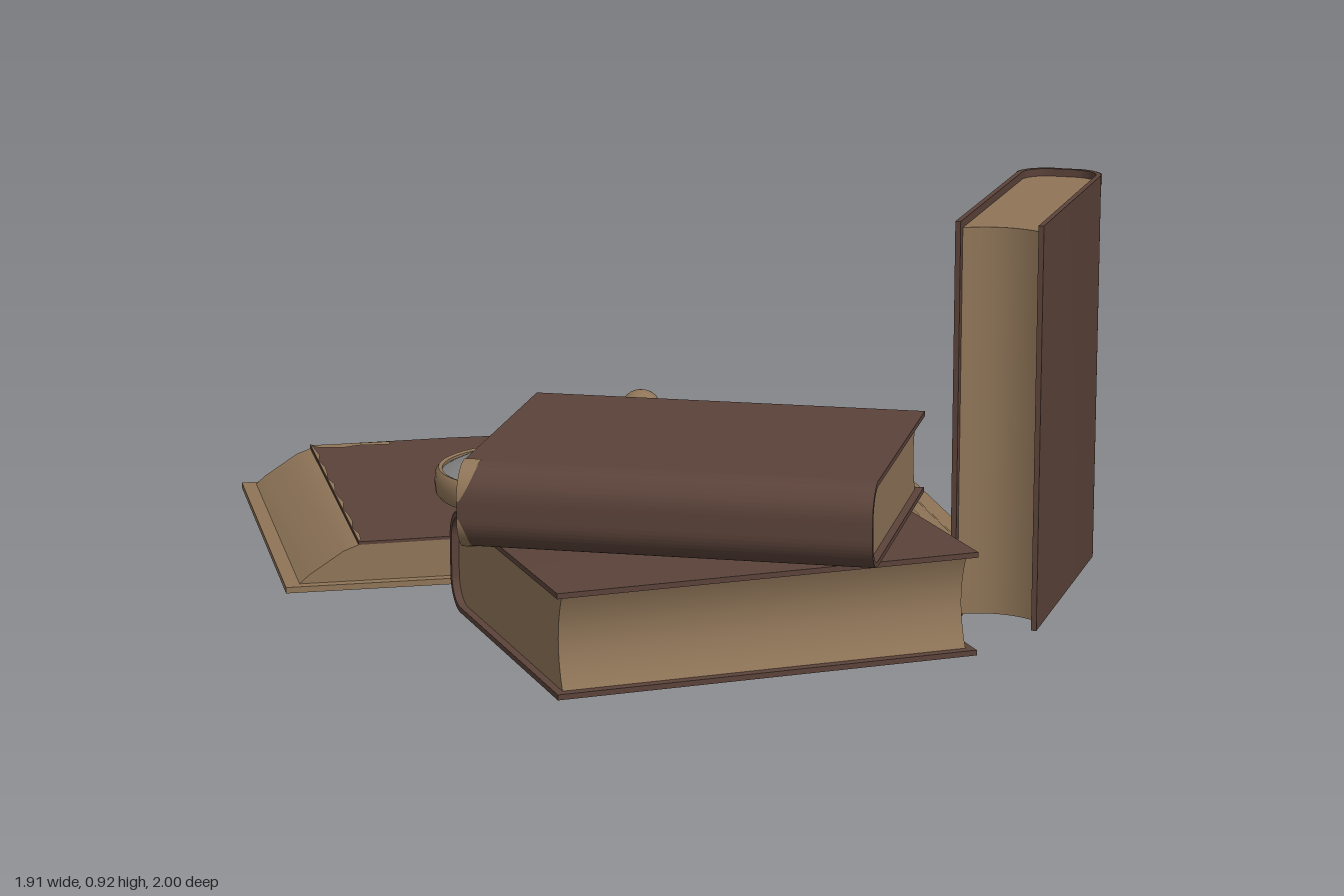
import * as THREE from 'three';
import { toCreasedNormals } from 'three/addons/utils/BufferGeometryUtils.js';

const cover = new THREE.MeshStandardMaterial({ color: 0x5a4239 });
cover.name = 'brown leather';
const paper = new THREE.MeshStandardMaterial({ color: 0x8f7558 });
paper.name = 'aged tan';
const worn = new THREE.MeshStandardMaterial({ color: 0x8f7558, side: THREE.DoubleSide });
worn.name = 'worn tan';
const glass = new THREE.MeshStandardMaterial({ color: 0x848484 });
glass.name = 'lens grey';

function add(parent, name, geometry, material, x = 0, y = 0, z = 0) {
  const mesh = new THREE.Mesh(geometry, material);
  mesh.name = name;
  mesh.position.set(x, y, z);
  parent.add(mesh);
  return mesh;
}

// Extrudes a shape along z, centred, with smooth curves and sharp edges
function prism(shape, length) {
  const g = new THREE.ExtrudeGeometry(shape, { depth: length, bevelEnabled: false, curveSegments: 12 });
  g.translate(0, 0, -length / 2);
  return toCreasedNormals(g, 0.6);
}

// Closed book: x runs from fore edge to spine, y is thickness, z is the height of the pages
function closedBook(name, D, T, L, patches) {
  const book = new THREE.Group();
  book.name = name;
  const h = T / 2, t = 0.012, r = 0.075, hi = h - t, ri = r - t;

  const c = new THREE.Shape();
  c.moveTo(0, -h);
  c.lineTo(D - r, -h);
  c.absarc(D - r, -h + r, r, -Math.PI / 2, 0, false);
  c.absarc(D - r, h - r, r, 0, Math.PI / 2, false);
  c.lineTo(0, h);
  c.lineTo(0, hi);
  c.lineTo(D - r, hi);
  c.absarc(D - r, h - r, ri, Math.PI / 2, 0, true);
  c.absarc(D - r, -h + r, ri, 0, -Math.PI / 2, true);
  c.lineTo(0, -hi);
  c.closePath();
  add(book, name + 'Cover', prism(c, L), cover);

  // Page block with a hollow fore edge
  const p = new THREE.Shape();
  p.moveTo(0.022, -hi);
  p.lineTo(D - r, -hi);
  p.absarc(D - r, -h + r, ri, -Math.PI / 2, 0, false);
  p.absarc(D - r, h - r, ri, 0, Math.PI / 2, false);
  p.lineTo(0.022, hi);
  p.quadraticCurveTo(0.075, 0, 0.022, -hi);
  add(book, name + 'Pages', prism(p, L - 0.035), paper);

  // Worn spine corners: [end sign, side sign, size]
  for (const [end, side, size] of patches) {
    const g = new THREE.CylinderGeometry(r + 0.002, r + 0.002, size, 10, 1, true, side > 0 ? Math.PI / 2 : 0, Math.PI / 2);
    g.rotateX(Math.PI / 2);
    const pos = g.attributes.position;
    for (let i = 0; i < pos.count; i++) {
      if (pos.getZ(i) * end < 0) {
        const a = Math.abs(pos.getY(i)) / r;
        pos.setZ(i, end * size * (0.4 - 0.9 * a * (1 - 0.35 * a)));
      }
    }
    g.computeVertexNormals();
    add(book, name + 'WornCorner', g, worn, D - r, side * (h - r), end * (L - size) / 2);
  }
  return book;
}

// Places a book so its x axis (towards the spine) and y axis (thickness) follow u and v
function place(book, u, v, origin) {
  u.normalize();
  const w = new THREE.Vector3().crossVectors(u, v);
  book.quaternion.setFromRotationMatrix(new THREE.Matrix4().makeBasis(u, v, w));
  book.position.set(...origin);
  return book;
}

function openBook() {
  const book = new THREE.Group();
  book.name = 'openBook';
  // Cover boards, the left end worn to tan
  add(book, 'openCoverWornEnd', new THREE.BoxGeometry(0.29, 0.014, 0.99), paper, -0.805, 0.007, -0.47);
  add(book, 'openCover', new THREE.BoxGeometry(1.37, 0.014, 0.99),
    [cover, paper, paper, cover, paper, paper], 0.025, 0.007, -0.47);

  // Page block: half profile mirrored about the gutter
  const c = -0.123;
  const half = [[0.008, 0.045], [0.02, 0.066], [0.045, 0.088], [0.09, 0.1], [0.3, 0.102], [0.655, 0.099],
    [0.69, 0.086], [0.73, 0.06], [0.77, 0.034], [0.793, 0.014]];
  const top = [...half.map(([x, y]) => [c - x, y]).reverse(), [c, 0.036], ...half.map(([x, y]) => [c + x, y])];
  const pts = top.map(([x, y]) => new THREE.Vector2(x, y));
  add(book, 'openPages', prism(new THREE.Shape([...pts].reverse()), 0.945), paper, 0, 0, -0.4725);

  // Brown sheets lying over the two flat pages
  const sheet = pts.slice(4, -4);
  const raised = sheet.map(p => new THREE.Vector2(p.x, p.y + 0.007)).reverse();
  add(book, 'openPageSheet', prism(new THREE.Shape([...sheet, ...raised]), 0.945), cover, 0, 0, -0.4725);

  // Worn spots: outline points as x, z
  const spots = [
    [[-0.78, -0.93], [-0.58, -0.93], [-0.58, -0.9], [-0.66, -0.905], [-0.7, -0.89], [-0.76, -0.9]],
    [[0.06, -0.08], [0.13, -0.075], [0.16, -0.095], [0.22, -0.09], [0.235, -0.05], [0.2, -0.025], [0.13, -0.02], [0.11, -0.045], [0.065, -0.05]],
    [[-0.115, -0.08], [-0.08, -0.09], [-0.06, -0.07], [-0.07, -0.045], [-0.1, -0.04]],
    [[-0.3, -0.925], [-0.275, -0.925], [-0.28, -0.905], [-0.3, -0.91]],
  ];
  for (const s of spots) {
    const g = new THREE.ShapeGeometry(new THREE.Shape(s.map(([x, z]) => new THREE.Vector2(x, -z))));
    g.rotateX(-Math.PI / 2);
    const nearGutter = s[0][0] > -0.2 && s[0][0] < 0;
    add(book, 'wornSpot', g, worn, 0, nearGutter ? 0.108 : 0.1105, 0);
  }
  // Ragged outer edges of the sheets
  for (const [x, dir] of [[-0.778, 1], [0.532, -1]]) {
    const s = new THREE.Shape();
    s.moveTo(x, 0);
    for (let i = 0; i <= 16; i++) {
      s.lineTo(x + dir * (0.006 + 0.005 * Math.sin(i * 2.3)), i * 0.945 / 16);
    }
    s.lineTo(x, 0.945);
    const g = new THREE.ShapeGeometry(s);
    g.rotateX(-Math.PI / 2);
    add(book, 'raggedEdge', g, worn, 0, 0.1095, 0);
  }
  return book;
}

function magnifier() {
  const group = new THREE.Group();
  group.name = 'magnifier';
  const lathe = (list, seg) => toCreasedNormals(
    new THREE.LatheGeometry(list.map(([x, y]) => new THREE.Vector2(x, y)), seg), 0.6);

  add(group, 'lensRim', lathe([[0.215, -0.032], [0.224, -0.035], [0.231, -0.026], [0.234, 0], [0.231, 0.024],
    [0.224, 0.033], [0.215, 0.03], [0.215, -0.032]], 48), paper);

  // Lens bulging above and slightly below
  const lens = [];
  for (let i = 0; i <= 8; i++) lens.push([0.222 * i / 8, -0.035 + 0.035 * (i / 8) ** 2]);
  for (let i = 8; i >= 0; i--) lens.push([0.222 * i / 8, 0.02 + 0.062 * (1 - (i / 8) ** 2)]);
  add(group, 'lens', lathe(lens, 48), glass);

  // Turned handle, radius against distance from the lens centre
  const handle = [[0, 0.22], [0.022, 0.22], [0.022, 0.25], [0.03, 0.265], [0.03, 0.285], [0.02, 0.295], [0.02, 0.31],
    [0.028, 0.325], [0.03, 0.34], [0.042, 0.345], [0.043, 0.375], [0.038, 0.39], [0.042, 0.42], [0.044, 0.47], [0.046, 0.485],
    [0.04, 0.5], [0.038, 0.58], [0.037, 0.63], [0.043, 0.64], [0.044, 0.665], [0.036, 0.68], [0.04, 0.7]];
  for (let i = 0; i <= 10; i++) {
    const a = -0.75 + (Math.PI / 2 + 0.75) * i / 10;
    handle.push([Math.max(0, 0.053 * Math.cos(a)), 0.757 + 0.053 * Math.sin(a)]);
  }
  const mesh = add(group, 'handle', lathe(handle, 24), paper);
  mesh.quaternion.setFromUnitVectors(new THREE.Vector3(0, 1, 0), new THREE.Vector3(0.518, 0, -0.855).normalize());
  group.position.set(-0.32, 0.156, -0.305);
  return group;
}

export function createModel() {
  const model = new THREE.Group();
  model.name = 'booksAndMagnifier';
  const up = new THREE.Vector3(0, 1, 0);
  model.add(
    openBook(),
    magnifier(),
    place(closedBook('lowerBook', 0.778, 0.232, 0.957, [[-1, 1, 0.07]]),
      new THREE.Vector3(-0.11, 0, -0.77), up, [-0.0125, 0.121, 0.9075]),
    place(closedBook('upperBook', 0.7227, 0.19, 0.905, [[1, 1, 0.055], [1, -1, 0.04]]),
      new THREE.Vector3(-0.29, 0, 0.662), up, [0.06, 0.337, 0.1525]),
    place(closedBook('standingBook', 0.718, 0.197, 0.914, [[1, 1, 0.06], [1, -1, 0.035]]),
      new THREE.Vector3(0.474, 0, -0.881), new THREE.Vector3(-0.881, 0, -0.474).normalize(), [0.557, 0.459, 0.63]),
  );
  return model;
}
